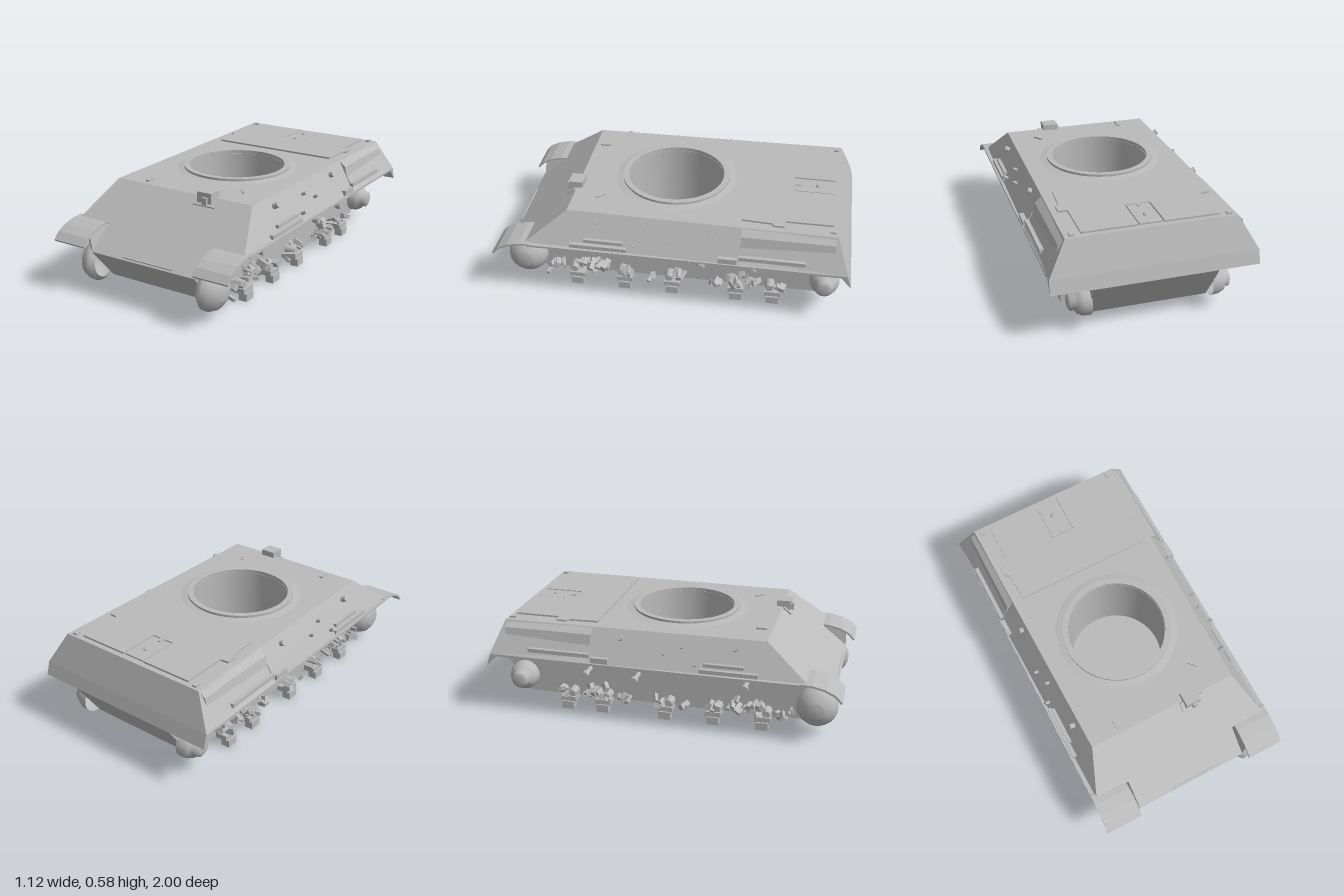
import * as THREE from 'three';

const steel = new THREE.MeshStandardMaterial({ color: 0xbababa, side: THREE.DoubleSide });
steel.name = 'bare steel';

export function createModel() {
  const model = new THREE.Group();
  model.name = 'tankHull';

  const add = (name, geometry, x = 0, y = 0, z = 0, rx = 0, ry = 0, rz = 0) => {
    const mesh = new THREE.Mesh(geometry, steel);
    mesh.name = name;
    mesh.position.set(x, y, z);
    mesh.rotation.set(rx, ry, rz);
    model.add(mesh);
    return mesh;
  };
  const box = (name, w, h, d, ...place) => add(name, new THREE.BoxGeometry(w, h, d), ...place);

  // flat faces from convex polygons, each fanned from its first corner
  const faces = (name, polygons) => {
    const pos = [];
    for (const p of polygons)
      for (let i = 1; i < p.length - 1; i++) pos.push(...p[0], ...p[i], ...p[i + 1]);
    const g = new THREE.BufferGeometry();
    g.setAttribute('position', new THREE.Float32BufferAttribute(pos, 3));
    g.computeVertexNormals();
    return add(name, g);
  };
  const lathe = (pts, n = 24) => new THREE.LatheGeometry(pts.map(p => new THREE.Vector2(...p)), n);

  // upper hull: four sloping sides between the base and roof outlines (x, z)
  const roofY = 0.545, deckY = 0.365, ringZ = 0.035, ringR = 0.275;
  const roof = [[-0.44, 0.58], [0.44, 0.58], [0.46, -0.91], [-0.46, -0.91]];
  const base = [[-0.535, 0.81], [0.535, 0.81], [0.56, -0.977], [-0.56, -0.977]];
  faces('upperHullSides', roof.map((a, i) => {
    const j = (i + 1) % 4, b = base[i], c = base[j], d = roof[j];
    return [[b[0], deckY, b[1]], [c[0], deckY, c[1]], [d[0], roofY, d[1]], [a[0], roofY, a[1]]];
  }));

  // roof: strip from the outline inward to the round turret opening
  const outer = roof.flatMap((a, i) => {
    const b = roof[(i + 1) % 4];
    return Array.from({ length: 20 }, (_, k) =>
      [a[0] + (b[0] - a[0]) * k / 20, roofY, a[1] + (b[1] - a[1]) * k / 20]);
  });
  const inner = outer.map(([x, y, z]) => {
    const d = ringR / Math.hypot(x, z - ringZ);
    return [x * d, y, ringZ + (z - ringZ) * d];
  });
  faces('roof', outer.map((p, i) => {
    const j = (i + 1) % outer.length;
    return [p, outer[j], inner[j], inner[i]];
  }));

  // lower hull: profile (z, y) running from glacis over the belly to the tail
  const w = 0.335;
  const keel = [[0.81, 0.365], [0.955, 0.25], [0.945, 0.235], [0.79, 0.058],
    [-0.84, 0.058], [-0.995, 0.285], [-0.977, 0.365]];
  const lower = [];
  for (let i = 0; i < keel.length - 1; i++) {
    const [z0, y0] = keel[i], [z1, y1] = keel[i + 1];
    lower.push([[w, y0, z0], [-w, y0, z0], [-w, y1, z1], [w, y1, z1]]);
  }
  lower.push(keel.map(([z, y]) => [w, y, z]).reverse(), keel.map(([z, y]) => [-w, y, z]));
  faces('lowerHull', lower);
  box('noseStrip', 0.32, 0.006, 0.01, 0.03, 0.26, 0.942);

  // turret ring, the shallow weld around it, and the well down to the belly
  const ring = lathe([[0.277, 0], [0.277, 0.02], [0.31, 0.02], [0.31, 0]], 64).toNonIndexed();
  ring.computeVertexNormals();
  add('turretRing', ring, 0, roofY, ringZ);
  add('ringWeld', new THREE.CylinderGeometry(0.31, 0.355, 0.008, 64, 1, true), 0, roofY + 0.003, ringZ);
  add('turretWell', lathe([[0.277, 0.485], [0.277, 0]], 64), 0, 0.06, ringZ);

  // engine deck plate with its notched hatch, outline in (x, z)
  const half = [[0.39, -0.385], [0.4, -0.55], [0.42, -0.56], [0.42, -0.62],
    [0.37, -0.625], [0.37, -0.88], [0.07, -0.88], [0.07, -0.65]];
  const deck = [...half, ...half.slice().reverse().map(([x, z]) => [-x, z])];
  add('engineDeck', new THREE.ExtrudeGeometry(
    new THREE.Shape(deck.map(([x, z]) => new THREE.Vector2(x, -z))),
    { depth: 0.01, bevelEnabled: false }), 0, roofY, 0, -Math.PI / 2);
  box('deckHatch', 0.125, 0.008, 0.22, 0, roofY + 0.004, -0.765);
  add('hatchKnob', new THREE.SphereGeometry(0.014, 12, 8), 0, roofY + 0.008, -0.785);
  box('hatchLatch', 0.02, 0.014, 0.03, 0, roofY + 0.007, -0.67);

  // front periscope housing
  box('periscopeHousing', 0.09, 0.06, 0.08, 0.17, 0.55, 0.585);
  box('periscopeFlange', 0.14, 0.012, 0.06, 0.172, 0.525, 0.61, 0.65);
  box('periscopeSight', 0.028, 0.04, 0.02, 0.178, 0.535, 0.63);
  box('roofHook', 0.02, 0.012, 0.06, -0.265, roofY + 0.004, 0.52);
  box('roofHandle', 0.012, 0.01, 0.06, 0.28, roofY + 0.004, 0.42, 0, 0.7);

  // rear lip hanging below the tail plate
  faces('rearLip', [
    [[-0.56, deckY, -0.977], [0.56, deckY, -0.977], [0.56, 0.29, -1], [-0.56, 0.29, -1]],
    [[0.56, deckY, -0.93], [0.56, 0.29, -1], [0.56, deckY, -0.977]],
    [[-0.56, deckY, -0.93], [-0.56, 0.29, -1], [-0.56, deckY, -0.977]],
  ]);

  // small repeatable noise for the rough suspension parts
  let seed = 7;
  const rnd = () => (seed = (seed * 16807) % 2147483647) / 2147483647;
  const lean = 0.507;

  for (const s of [1, -1]) {
    const side = s > 0 ? 'left' : 'right';
    const name = (part) => side + part;

    // track guard and drooping front fender
    box(name('TrackGuard'), 0.225, 0.012, 1.76, s * 0.4475, 0.359, -0.085);
    const curve = [[0.78, 0.37], [0.84, 0.368], [0.91, 0.352], [0.965, 0.325], [1, 0.288]];
    const fender = new THREE.Shape([...curve, ...curve.slice().reverse().map(([z, y]) => [z - 0.006, y - 0.01])]
      .map(p => new THREE.Vector2(...p)));
    add(name('FrontFender'), new THREE.ExtrudeGeometry(fender, { depth: 0.21, bevelEnabled: false }),
      s > 0 ? 0.56 : -0.35, 0, 0, 0, -Math.PI / 2);
    const f = (x, y, z) => [s * x, y, z];
    faces(name('FenderBracket'), [
      [f(0.355, 0.365, 0.8), f(0.355, 0.36, 0.88), f(0.352, 0.33, 0.945), f(0.335, 0.25, 0.95), f(0.335, 0.25, 0.8)],
      [f(0.335, 0.25, 0.95), f(0.352, 0.33, 0.945), f(0.375, 0.335, 0.94), f(0.36, 0.24, 0.93)],
    ]);

    // rear side fairing: steep at the top, flaring out to the guard
    const z0 = -0.395, z1 = -0.9;
    const fairing = [[0.458, 0.54], [0.492, 0.51], [0.512, 0.42], [0.558, 0.368]];
    const strips = fairing.slice(1).map(([x, y], i) => {
      const [px, py] = fairing[i];
      return [f(px, py, z0), f(x, y, z0), f(x, y, z1), f(px, py, z1)];
    });
    const ends = [z0, z1].map(z => fairing.map(([x, y]) => f(x, y, z)));
    faces(name('RearFairing'), [...strips, ...ends]);

    // tool bars and fittings on the slope
    box(name('FrontToolBar'), 0.025, 0.022, 0.32, s * 0.536, 0.38, 0.39);
    box(name('FrontToolTip'), 0.02, 0.018, 0.22, s * 0.525, 0.412, 0.36);
    box(name('RearToolBar'), 0.022, 0.022, 0.36, s * 0.54, 0.405, -0.57);
    box(name('RearToolBlock'), 0.03, 0.03, 0.1, s * 0.543, 0.385, -0.33);
    for (const [z, y, r] of [[0.41, 0.5, 0.016], [0.12, 0.485, 0.009], [0.02, 0.445, 0.009],
      [-0.23, 0.5, 0.016], [0.2, 0.405, 0.01]]) {
      const x = 0.55 - (y - deckY) * 0.555;
      add(name('SideFitting'), new THREE.CylinderGeometry(r, r, 0.05, 10), s * x, y, z, 0, 0, s * (lean - Math.PI / 2));
    }
    box(name('RoofLug'), 0.025, 0.012, 0.03, s * 0.42, roofY + 0.004, -0.93 + 0.05);

    // front idler mount and rear final drive, domed outward
    const turn = -s * Math.PI / 2;
    add(name('FrontWheelHub'), lathe([[0.09, 0], [0.115, 0.025], [0.115, 0.05], [0.1, 0.085],
      [0.07, 0.11], [0.05, 0.115], [0.045, 0.123], [0, 0.125]]), s * 0.328, 0.165, 0.855, 0, 0, turn);
    add(name('RearFinalDrive'), lathe([[0.085, 0], [0.083, 0.04], [0.07, 0.07], [0.05, 0.08],
      [0.05, 0.105], [0.03, 0.115], [0, 0.115]]), s * 0.33, 0.16, -0.865, 0, 0, turn);

    // return roller stubs
    for (const [z, y] of [[0.46, 0.25], [-0.17, 0.23], [-0.46, 0.235]]) {
      add(name('RollerStub'), new THREE.CylinderGeometry(0.014, 0.014, 0.09, 10), s * 0.38, y, z, 0, 0, turn);
      add(name('RollerCap'), new THREE.CylinderGeometry(0.022, 0.022, 0.03, 10), s * 0.43, y, z, 0, 0, turn);
    }

    // axle feet along the belly edge
    for (const z of [0.56, 0.28, 0, -0.37, -0.58]) {
      box(name('AxleFoot'), 0.05, 0.045, 0.07, s * 0.39, 0.0225, z);
      box(name('AxleBracket'), 0.07, 0.03, 0.09, s * 0.37, 0.058, z);
      add(name('AxleStub'), new THREE.CylinderGeometry(0.022, 0.03, 0.06, 8), s * 0.365, 0.09, z + 0.02, 0, 0, turn);
    }

    // rough spring clusters: [start z, end z, top y, count]
    for (const [za, zb, top, n] of [[0.73, 0.63, 0.15, 6], [0.56, 0.37, 0.16, 14], [0.3, 0.24, 0.13, 4],
      [0.13, 0.1, 0.11, 2], [0, -0.06, 0.13, 4], [-0.22, -0.28, 0.13, 4],
      [-0.33, -0.49, 0.16, 13], [-0.58, -0.64, 0.13, 4]]) {
      for (let i = 0; i < n; i++) {
        const z = za + (zb - za) * (i + 0.5) / n, y = 0.075 + rnd() * (top - 0.085);
        add(name('SpringPart'), new THREE.BoxGeometry(0.03 + rnd() * 0.05, 0.012 + rnd() * 0.02, 0.015 + rnd() * 0.02),
          s * (0.355 + rnd() * 0.05), y, z, rnd() * 3, rnd() - 0.5, rnd() - 0.5);
      }
    }
  }
  return model;
}
